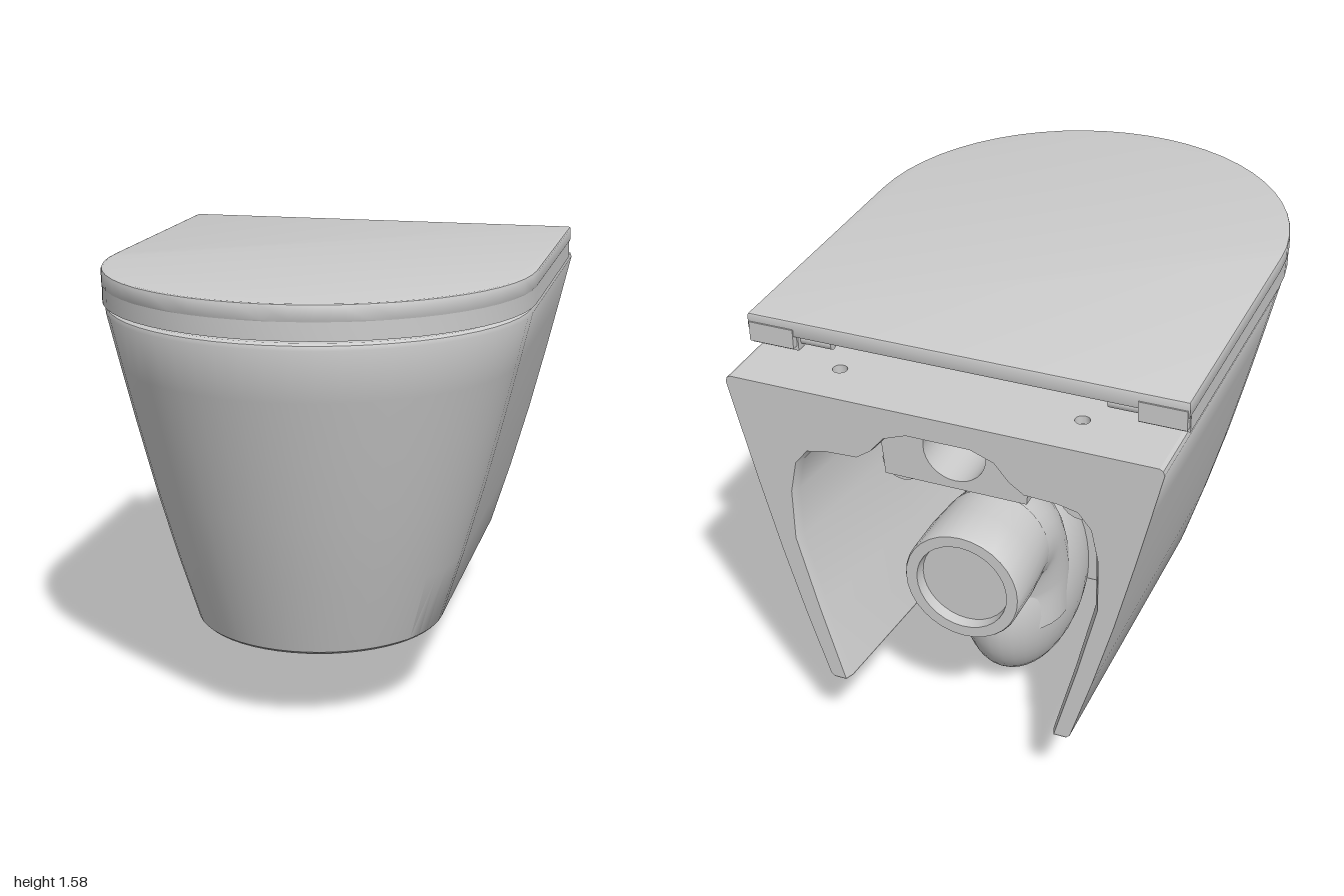
import * as THREE from 'three';
import { toCreasedNormals } from 'three/addons/utils/BufferGeometryUtils.js';

const material = new THREE.MeshStandardMaterial({ color: 0xcccccc, side: THREE.DoubleSide });
const BACK = -1, BEND = 0.2, CAVITY_END = -0.15;

// U-shaped plan: straight sides from the back, half ellipse at the front
function plan(halfWidth, front, back = BACK, steps = 28) {
  const pts = [[halfWidth, back]];
  for (let i = 0; i <= steps; i++) {
    const a = (i / steps) * Math.PI;
    pts.push([halfWidth * Math.cos(a), BEND + (front - BEND) * Math.sin(a)]);
  }
  pts.push([-halfWidth, back]);
  return pts;
}

const toShape = (pts) => new THREE.Shape(pts.map(([x, y]) => new THREE.Vector2(x, y)));

// Skin between equally long open rows of 3D points
function loft(rows) {
  const n = rows[0].length, index = [];
  for (let r = 0; r < rows.length - 1; r++) {
    for (let i = 0; i < n - 1; i++) {
      const a = r * n + i, b = a + 1, c = a + n, d = c + 1;
      index.push(a, c, b, b, c, d);
    }
  }
  const g = new THREE.BufferGeometry();
  g.setAttribute('position', new THREE.Float32BufferAttribute(rows.flat(2), 3));
  g.setIndex(index);
  g.computeVertexNormals();
  return toCreasedNormals(g, 0.6);
}

// Flat plate in the xz plane, its top at height y
function slab(shape, y, depth, bevel = 0) {
  const g = new THREE.ExtrudeGeometry(shape, {
    depth: depth - 2 * bevel, bevelEnabled: bevel > 0, bevelSize: bevel,
    bevelThickness: bevel, bevelOffset: -bevel, bevelSegments: 2,
  });
  g.rotateX(Math.PI / 2).translate(0, y - bevel, 0);
  return toCreasedNormals(g, 0.5);
}

function circleHole(x, y, r) {
  const p = new THREE.Path();
  p.absarc(x, y, r, 0, Math.PI * 2, true);
  return p;
}

export function createModel() {
  const model = new THREE.Group();
  const add = (name, geometry, parent = model) => {
    const mesh = new THREE.Mesh(geometry, material);
    mesh.name = name;
    parent.add(mesh);
    return mesh;
  };

  // Tapered outer shell, rows are [y, half width, front z]
  const profile = [
    [0.29, 0.435, 0.645], [0.3, 0.447, 0.66], [0.55, 0.524, 0.745], [0.8, 0.594, 0.822],
    [1.05, 0.657, 0.893], [1.25, 0.705, 0.947], [1.43, 0.747, 0.993], [1.445, 0.742, 0.988], [1.452, 0.73, 0.975],
  ];
  add('bowlShell', loft(profile.map(([y, w, f]) => plan(w, f).map(([x, z]) => [x, y, z]))));

  // Rim top with two hinge bolt holes
  const rim = toShape(plan(0.73, 0.975));
  for (const s of [-1, 1]) rim.holes.push(circleHole(s * 0.42, -0.83, 0.025));
  add('rimTop', slab(rim, 1.452, 0.03));

  // Rear opening, from its lower +x corner over the arch to the other side
  const half = [
    [0.39, 0.29], [0.47, 0.58], [0.54, 0.86], [0.54, 1.05], [0.515, 1.17], [0.47, 1.225],
    [0.4, 1.24], [0.29, 1.245], [0.24, 1.28], [0.19, 1.34], [0.11, 1.37],
  ];
  const opening = [...half, ...half.map(([x, y]) => [-x, y]).reverse()];

  // Back panel around the opening
  const sides = profile.map(([y, w]) => [w, y]);
  const panel = toShape([...sides, ...sides.map(([x, y]) => [-x, y]).reverse(), ...[...opening].reverse()]);
  add('backPanel', new THREE.ShapeGeometry(panel).rotateY(Math.PI).translate(0, 0, BACK));

  // Cavity walls, narrowing towards the front
  const shrink = (k) => opening.map(([x, y]) => [x * k, y]);
  add('cavityWalls', loft([
    opening.map(([x, y]) => [x, y, BACK]),
    shrink(0.97).map(([x, y]) => [x, y, -0.97]),
    shrink(0.85).map(([x, y]) => [x, y, -0.4]),
    shrink(0.65).map(([x, y]) => [x, y, CAVITY_END]),
  ]));
  add('cavityEnd', new THREE.ShapeGeometry(toShape(shrink(0.65))).translate(0, 0, CAVITY_END));

  // Underside with a notch below the cavity
  const notch = [[-0.39, BACK], [-0.378, -0.97], [-0.33, -0.4], [-0.254, CAVITY_END]];
  const floor = toShape([...plan(0.435, 0.645), ...notch, ...notch.map(([x, z]) => [-x, z]).reverse()]);
  add('underside', new THREE.ShapeGeometry(floor).rotateX(Math.PI / 2).translate(0, 0.288, 0));

  // Water inlet block with its bore
  const inlet = toShape([
    [0.25, 1.12], [0.26, 1.24], [0.2, 1.35], [0.11, 1.375],
    [-0.11, 1.375], [-0.2, 1.35], [-0.26, 1.24], [-0.25, 1.12],
  ]);
  inlet.holes.push(circleHole(0, 1.26, 0.11));
  add('inletBlock', toCreasedNormals(
    new THREE.ExtrudeGeometry(inlet, { depth: 0.7, bevelEnabled: false, curveSegments: 16 }), 0.5,
  ).translate(0, 0, -0.88));
  add('inletEnd', new THREE.CircleGeometry(0.11, 32).rotateY(Math.PI).translate(0, 1.26, -0.65));

  // Mounting bosses on both sides of the cavity
  const bossProfile = [[0.035, 0.1], [0.035, 0], [0.075, 0], [0.075, 0.45]].map((p) => new THREE.Vector2(...p));
  for (const s of [-1, 1]) {
    const boss = add('mountingBoss', toCreasedNormals(new THREE.LatheGeometry(bossProfile, 20), 0.5));
    boss.rotation.x = Math.PI / 2;
    boss.position.set(s * 0.33, 0.97, -0.6);
  }

  // Trap: rounded bulb, bend and outlet pipe
  const trap = new THREE.Group();
  trap.name = 'trap';
  model.add(trap);
  const bulb = add('trapBulb', new THREE.SphereGeometry(1, 32, 24), trap);
  bulb.scale.set(0.21, 0.37, 0.365);
  bulb.position.set(0, 0.37, -0.28);
  const bend = new THREE.CatmullRomCurve3([
    [0, 0.32, -0.4], [0, 0.5, -0.4], [0, 0.66, -0.47], [0, 0.7, -0.6], [0, 0.7, -0.72],
  ].map((p) => new THREE.Vector3(...p)));
  add('trapBend', new THREE.TubeGeometry(bend, 24, 0.2, 28), trap);
  const pipeProfile = [[0, 0.04], [0.16, 0.04], [0.165, 0], [0.205, 0], [0.21, 0.01], [0.21, 0.16], [0.2, 0.3]];
  const pipe = add('outletPipe', toCreasedNormals(
    new THREE.LatheGeometry(pipeProfile.map((p) => new THREE.Vector2(...p)), 32), 0.5), trap);
  pipe.rotation.x = Math.PI / 2;
  pipe.position.set(0, 0.7, -0.86);

  // Closed lid above the seat; the seat is cut back between the hinge ears
  const lid = new THREE.Group();
  lid.name = 'seatAndLid';
  model.add(lid);
  add('lid', slab(toShape(plan(0.76, 1, -0.81)), 1.58, 0.06, 0.008), lid);
  const seat = toShape([...plan(0.758, 0.998, -0.79), [-0.59, -0.79], [-0.59, -0.7], [0.59, -0.7], [0.59, -0.79]]);
  add('seat', slab(seat, 1.524, 0.062), lid);

  // Hinge ears at the rear corners and pins towards the middle
  for (const s of [-1, 1]) {
    const ear = add('hingeEar', new THREE.BoxGeometry(0.16, 0.07, 0.05), lid);
    ear.position.set(s * 0.675, 1.515, -0.79);
    const pin = add('hingePin', new THREE.CylinderGeometry(0.025, 0.025, 0.12, 16), lid);
    pin.rotation.z = Math.PI / 2;
    pin.position.set(s * 0.54, 1.495, -0.75);
  }
  return model;
}
